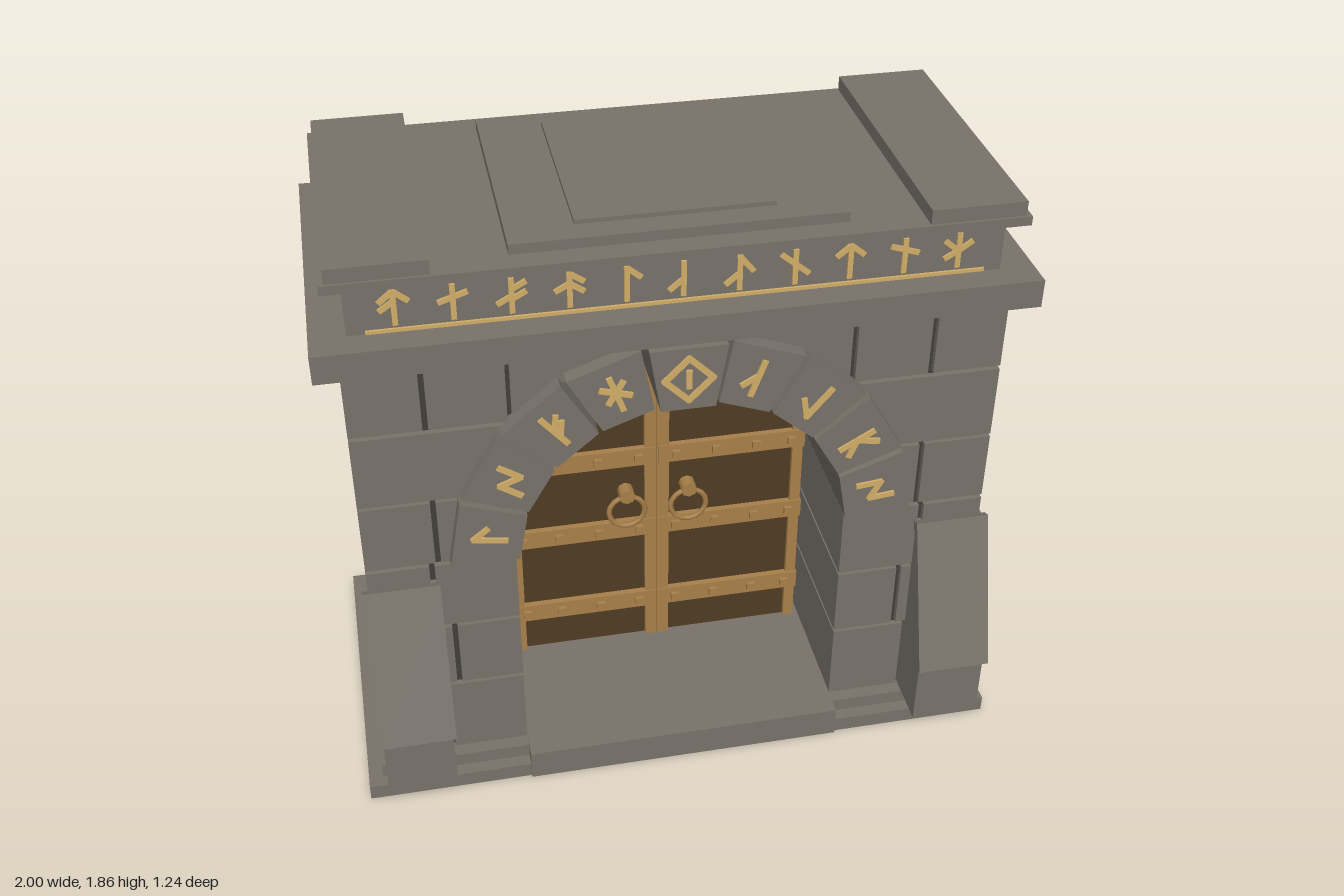
import * as THREE from 'three';

const mat = (name, color) => {
  const m = new THREE.MeshStandardMaterial({ color });
  m.name = name;
  return m;
};

export function createModel() {
  const stone = mat('stone', 0x78726a);
  const mortar = mat('mortar', 0x433e39);
  const wood = mat('darkWood', 0x503b22);
  const bronze = mat('bronze', 0xa8804a);
  const gold = mat('gold', 0xd2ae68);
  const root = new THREE.Group();
  root.name = 'gateway';

  const add = (name, geo, material, parent = root) => {
    const m = new THREE.Mesh(geo, material);
    m.name = name;
    parent.add(m);
    return m;
  };
  const box = (name, x0, x1, y0, y1, z0, z1, material, parent) => {
    const m = add(name, new THREE.BoxGeometry(Math.abs(x1 - x0), y1 - y0, z1 - z0), material, parent);
    m.position.set((x0 + x1) / 2, (y0 + y1) / 2, (z0 + z1) / 2);
    return m;
  };
  // Prism with an outline in x, y between two depths
  const prism = (pts, z0, z1) => {
    const s = new THREE.Shape(pts.map(p => new THREE.Vector2(p[0], p[1])));
    return new THREE.ExtrudeGeometry(s, { depth: z1 - z0, bevelEnabled: false }).translate(0, 0, z0);
  };
  const CY = 0.855; // arch centre height
  const arc = (r, a0, a1, n) => Array.from({ length: n + 1 }, (_, i) => {
    const a = a0 + (a1 - a0) * i / n;
    return [r * Math.cos(a), CY + r * Math.sin(a)];
  });

  // Plinth and threshold
  box('plinthLower', -1, 1, 0, 0.05, -0.51, 0.51, stone);
  box('plinthUpper', -0.955, 0.955, 0.05, 0.095, -0.47, 0.47, stone);
  box('threshold', -0.495, 0.495, 0.002, 0.102, -0.52, 0.52, stone);

  // Wall courses: [bottom, top, front joint x, side joint z]
  const R = 0.662;
  const rows = [
    [0.1, 0.363, 0.73, 0], [0.373, 0.6, 0.69, 0.06], [0.61, 0.84, 0.74, 0.09],
    [0.852, 1.07, 0.72, -0.14], [1.08, 1.31, 0, -0.095], [1.322, 1.543, 0.72, 0.11],
  ];
  const D = 0.433, W = 0.93, g = 0.008;
  for (const s of [-1, 1]) {
    const walls = new THREE.Group();
    walls.name = s > 0 ? 'leftWall' : 'rightWall';
    root.add(walls);
    for (const [y0, y1, jx, jz] of rows) {
      for (const [z0, z1] of [[-D, jz - g], [jz + g, D]]) {
        if (jx) {
          box('outerBlock', s * (jx + g), s * W, y0, y1, z0, z1, stone, walls);
        } else {
          // Course cut to follow the arch
          const edge = arc(R, Math.asin((y0 - CY) / R), Math.asin((y1 - CY) / R), 4);
          const pts = [...edge, [W, y1], [W, y0]].map(p => [s * p[0], p[1]]);
          add('archCutBlock', prism(pts, z0, z1), stone, walls);
        }
      }
      if (jx) box('jambBlock', s * 0.495, s * (jx - g), y0, y1, -D, D, stone, walls);
    }
    box('mortarCore', s * 0.505, s * 0.917, 0.09, 1.08, -0.415, 0.415, mortar, walls);
  }
  // Mortar and spandrel above the arch
  const a0 = Math.asin((1.08 - CY) / (R + 0.004));
  add('upperMortar', prism([...arc(R + 0.004, a0, Math.PI - a0, 20),
    [-0.917, 1.08], [-0.917, 1.55], [0.917, 1.55], [0.917, 1.08]], -0.415, 0.415), mortar);
  const a1 = Math.acos(0.482 / R);
  add('spandrel', prism([...arc(R, a1, Math.PI - a1, 14), [-0.482, 1.543], [0.482, 1.543]], -0.425, 0.425), stone);

  // Carved mark made of short strokes [x0, y0, x1, y1]
  const mark = (name, strokes, w, parent = root) => {
    const grp = new THREE.Group();
    grp.name = name;
    for (const [x0, y0, x1, y1] of strokes) {
      const m = add('stroke', new THREE.BoxGeometry(w, Math.hypot(x1 - x0, y1 - y0) + w * 0.6, 0.008), gold, grp);
      m.position.set((x0 + x1) / 2, (y0 + y1) / 2, 0);
      m.rotation.z = Math.atan2(y1 - y0, x1 - x0) - Math.PI / 2;
    }
    parent.add(grp);
    return grp;
  };

  // Arch stones with their marks, right-hand end last
  const stem = [0, -0.055, 0, 0.055];
  const zig = [[-0.03, -0.05, -0.025, 0.02], [-0.025, 0.02, 0.025, -0.02], [0.025, -0.02, 0.03, 0.05]];
  const archMarks = [
    zig, [stem, [0, 0, 0.04, 0.05], [0, 0, 0.035, -0.045]],
    [[0.01, -0.055, 0.01, 0.055], [0.01, -0.055, -0.035, -0.015]],
    [stem, [0, 0.01, -0.035, -0.03]],
    [[0, 0.068, 0.068, 0], [0.068, 0, 0, -0.068], [0, -0.068, -0.068, 0], [-0.068, 0, 0, 0.068], [0, -0.025, 0, 0.025]],
    [stem, [-0.035, 0.03, 0.035, -0.02], [-0.03, -0.02, 0.03, 0.03]],
    [stem, [0, 0, 0.035, 0.035], [0, -0.025, 0.035, 0.01]],
    zig, [[-0.01, -0.05, -0.01, 0.045], [-0.01, 0.045, 0.03, 0.01]],
  ];
  const half = THREE.MathUtils.degToRad(9.2), t = Math.tan(half);
  archMarks.forEach((strokes, i) => {
    const key = i === 4, d = key ? 0.49 : 0.472;
    const v = new THREE.Group();
    v.name = key ? 'keystone' : 'archStone';
    v.position.y = CY;
    v.rotation.z = THREE.MathUtils.degToRad(10 + 20 * i - 90);
    root.add(v);
    add('stoneBody', prism([[-0.48 * t, 0.48], [0.48 * t, 0.48], [0.678 * t, 0.678], [-0.678 * t, 0.678]], -d, d), stone, v);
    mark('archMark', strokes, 0.017, v).position.set(0, 0.58, d + 0.003);
  });

  // Cornice, frieze and roof slabs
  box('cornice', -1, 1, 1.545, 1.63, -0.49, 0.49, stone);
  box('frieze', -0.9, 0.9, 1.63, 1.785, -0.405, 0.405, stone);
  box('roofSlab', -0.955, 0.955, 1.785, 1.812, -0.45, 0.45, stone);
  box('roofStepLower', -0.462, 0.462, 1.812, 1.842, -0.382, 0.382, stone);
  box('roofStepUpper', -0.277, 0.277, 1.842, 1.855, -0.307, 0.307, stone);
  for (const s of [-1, 1]) box('roofEndBlock', s * 0.67, s * 0.94, 1.812, 1.855, -0.442, 0.442, stone);

  // Frieze inlay
  for (const y of [1.637, 1.771]) box('friezeLine', -0.85, 0.85, y - 0.005, y + 0.005, 0.404, 0.412, gold);
  const tick = (y, side, up) => [0, y, side * 0.036, y + up];
  const friezeMarks = [
    [tick(0.05, -1, -0.03), tick(0.05, 1, -0.03), tick(0.02, -1, -0.025)],
    [tick(0.015, 1, 0.012), tick(0.015, -1, -0.012)],
    [tick(0.02, 1, 0.02), tick(0, -1, -0.02), tick(-0.01, 1, 0.02)],
    [tick(0.05, 1, -0.025), tick(0.02, 1, -0.025), tick(0.02, -1, -0.02)],
    [tick(0.05, 1, -0.03)], [tick(0, -1, -0.03)],
    [tick(0.05, 1, -0.045), tick(0, -1, -0.03)],
    [tick(0.01, 1, -0.03), tick(0.01, -1, 0.03)],
    [tick(0.05, -1, -0.03), tick(0.05, 1, -0.03)],
    [tick(0.02, -1, 0.012), tick(0.02, 1, -0.012)],
    [tick(0, -1, -0.02), tick(0, 1, 0.025), tick(0, -1, 0.03)],
  ];
  friezeMarks.forEach((strokes, i) => {
    mark('friezeMark', [[0, -0.048, 0, 0.05], ...strokes], 0.015).position.set((i - 5) * 0.154, 1.704, 0.408);
  });

  // Sloping corner buttresses, profile in z, y
  for (const s of [-1, 1]) for (const f of [0, Math.PI]) {
    const b = new THREE.Group();
    b.name = 'buttress';
    b.position.x = s * 0.835;
    b.rotation.y = f;
    root.add(b);
    add('buttressBody', prism([[0.41, 0.095], [0.592, 0.095], [0.592, 0.325], [0.44, 0.775], [0.41, 0.775]], -0.105, 0.105)
      .rotateY(-Math.PI / 2), stone, b);
    add('buttressCap', prism([[0.592, 0.305], [0.618, 0.317], [0.46, 0.79], [0.434, 0.78]], -0.113, 0.113)
      .rotateY(-Math.PI / 2), stone, b);
  }

  // Double door
  const door = new THREE.Group();
  door.name = 'door';
  root.add(door);
  const ro = 0.476, ri = 0.442, H = Math.PI / 2;
  for (const s of [-1, 1]) {
    const side = pts => pts.map(p => [s * p[0], p[1]]);
    add('leaf', prism(side([[0.004, 0.1], [ro, 0.1], ...arc(ro, 0, H - 0.009, 14)]), -0.035, 0.03), wood, door);
    // Rim following the leaf edge
    add('leafRim', prism(side([[ro, 0.1], ...arc(ro, 0, H - 0.009, 14), [0.004, 1.295],
      ...arc(ri, H - 0.009, 0, 14), [ri, 0.1]]), 0.025, 0.045), bronze, door);
    box('centreStile', s * 0.001, s * 0.039, 0.1, 1.322, 0.025, 0.046, bronze, door);
    for (const y of [0.265, 0.572, 0.855]) {
      box('band', s * 0.004, s * 0.48, y - 0.032, y + 0.032, -0.045, 0.05, bronze, door);
      for (const x of [0.06, 0.19, 0.32, 0.435]) {
        box('rivet', s * (x - 0.013), s * (x + 0.013), y - 0.013, y + 0.013, 0.05, 0.062, bronze, door);
      }
    }
    // Ring handle
    const ring = add('ringHandle', new THREE.TorusGeometry(0.058, 0.009, 6, 16), bronze, door);
    ring.position.set(s * 0.1, 0.655, 0.06);
    const mount = add('ringMount', new THREE.CylinderGeometry(0.026, 0.026, 0.045, 8), bronze, door);
    mount.rotation.x = H;
    mount.position.set(s * 0.1, 0.72, 0.052);
  }
  box('doorSeam', -0.006, 0.006, 0.1, 1.32, -0.02, 0.02, wood, door);
  return root;
}
